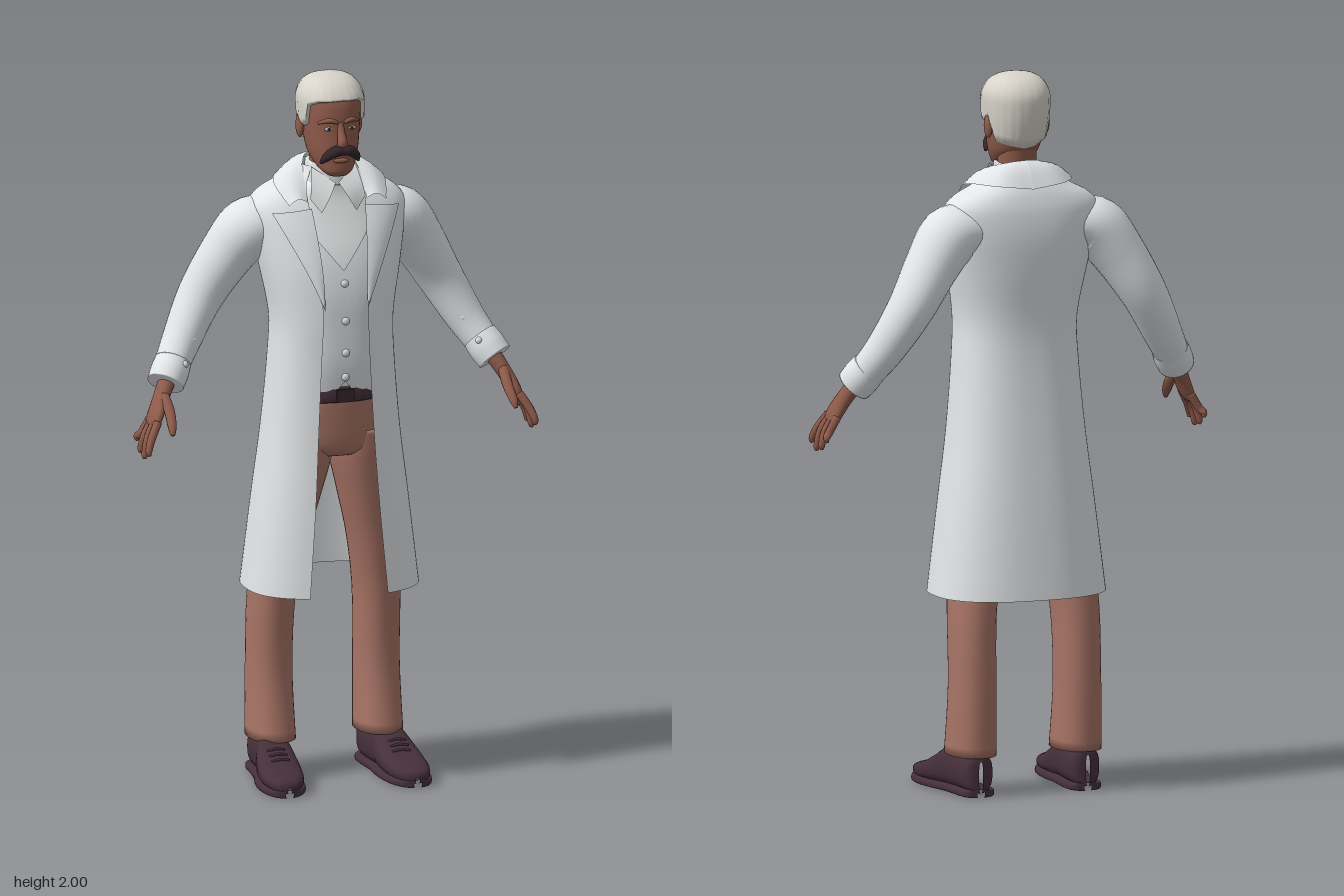
import * as THREE from 'three';

const mat = (name, color, side = THREE.FrontSide) => {
  const m = new THREE.MeshStandardMaterial({ color, side });
  m.name = name;
  return m;
};

// Surface from a rule fn(u, v) -> [x, y, z]; closed joins the ends of u
function grid(nu, nv, fn, closed = false) {
  const cols = closed ? nu : nu + 1, pos = [], idx = [];
  for (let j = 0; j <= nv; j++)
    for (let i = 0; i < cols; i++) pos.push(...fn(i / nu, j / nv));
  for (let j = 0; j < nv; j++)
    for (let i = 0; i < nu; i++) {
      const a = j * cols + i, b = j * cols + (i + 1) % cols;
      idx.push(a, b, b + cols, a, b + cols, a + cols);
    }
  const g = new THREE.BufferGeometry();
  g.setAttribute('position', new THREE.Float32BufferAttribute(pos, 3));
  g.setIndex(idx);
  g.computeVertexNormals();
  return g;
}

// Smooth in-between rows through the given rows of numbers
function dense(rows, n = 5) {
  const out = [], last = rows.length - 1;
  for (let k = 0; k <= last * n; k++) {
    const i = Math.min(Math.floor(k / n), last - 1), t = k / n - i;
    const [a, b, c, d] = [i - 1, i, i + 1, i + 2].map(q => rows[Math.max(0, Math.min(last, q))]);
    out.push(b.map((_, m) => 0.5 * (2 * b[m] + (c[m] - a[m]) * t +
      (2 * a[m] - 5 * b[m] + 4 * c[m] - d[m]) * t * t + (3 * b[m] - a[m] - 3 * c[m] + d[m]) * t ** 3)));
  }
  return out;
}

// Row at a value of the first column
function at(rows, y) {
  let i = 0;
  while (i < rows.length - 2 && rows[i + 1][0] < y) i++;
  const a = rows[i], b = rows[i + 1];
  const t = Math.max(0, Math.min(1, (y - a[0]) / (b[0] - a[0])));
  return a.map((v, m) => v + (b[m] - v) * t);
}
const pw = (v, p) => Math.sign(v) * Math.abs(v) ** p;

// Point of a level ring; row = [y, halfWidth, zFront, zBack]
function ring(r, th, p, cx = 0, grow = 0) {
  return [cx + (r[1] + grow) * pw(Math.sin(th), p), r[0],
    (r[2] + r[3]) / 2 + ((r[2] - r[3]) / 2 + grow) * pw(Math.cos(th), p)];
}
const frontZ = (rows, x, y, p) => {
  const r = at(rows, y), k = Math.min(1, Math.abs(x) / r[1]);
  return (r[2] + r[3]) / 2 + (r[2] - r[3]) / 2 * (1 - k ** (2 / p)) ** (p / 2);
};

// Closed body of level rings; optional fifth column shifts x
function loft(rows, p = 0.9, sides = 32) {
  const d = dense(rows);
  const cap = r => [r[0], 0, (r[2] + r[3]) / 2, (r[2] + r[3]) / 2, r[4] || 0];
  const all = [cap(d[0]), ...d, cap(d[d.length - 1])];
  return grid(sides, all.length - 1, (u, v) => {
    const r = all[Math.round(v * (all.length - 1))];
    return ring(r, u * Math.PI * 2, p, r[4] || 0);
  }, true);
}

// Limb along a path; row = [x, y, z, thinRadius, wideRadius]
function limb(rows, sides = 16) {
  const d = dense(rows.map(r => r.length < 5 ? [...r, r[3]] : r), 6), n = d.length;
  const frames = d.map((_, i) => {
    const a = d[Math.max(0, i - 1)], b = d[Math.min(n - 1, i + 1)];
    const t = new THREE.Vector3(b[0] - a[0], b[1] - a[1], b[2] - a[2]).normalize();
    const e1 = t.clone().cross(new THREE.Vector3(0, 0, 1)).normalize();
    return [e1, t.clone().cross(e1)];
  });
  return grid(sides, n + 1, (u, v) => {
    const k = Math.round(v * (n + 1)), i = Math.max(0, Math.min(n - 1, k - 1));
    const open = k === 0 || k === n + 1 ? 0 : 1, [e1, e2] = frames[i];
    const c = Math.cos(u * 2 * Math.PI) * d[i][3] * open, s = Math.sin(u * 2 * Math.PI) * d[i][4] * open;
    return ['x', 'y', 'z'].map((ax, m) => d[i][m] + e1[ax] * c + e2[ax] * s);
  }, true);
}

const blob = (x, y, z, sx, sy, sz) => new THREE.SphereGeometry(1, 16, 10).scale(sx, sy, sz).translate(x, y, z);

function mirrored(g) {
  const m = g.clone().scale(-1, 1, 1), a = m.index.array;
  for (let i = 0; i < a.length; i += 3) [a[i], a[i + 1]] = [a[i + 1], a[i]];
  return m;
}

export function createModel() {
  const model = new THREE.Group();
  const coatMat = mat('coat white', 0xe2e5e7, THREE.DoubleSide);
  const vestMat = mat('waistcoat white', 0xdde0e2, THREE.DoubleSide);
  const shirtMat = mat('shirt white', 0xe8eaeb, THREE.DoubleSide);
  const trouserMat = mat('trouser brown', 0xa87466);
  const skin = mat('skin', 0x8f5b4a), hairMat = mat('hair grey', 0xd8d4cb, THREE.DoubleSide);
  const dark = mat('moustache dark', 0x33262a), leather = mat('shoe leather', 0x46303a);
  const eyeMat = mat('eye white', 0xc9cccd);
  const add = (name, g, m) => {
    const mesh = new THREE.Mesh(g, m);
    mesh.name = name;
    model.add(mesh);
  };
  const pair = (name, g, m) => { add(name + 'Left', g, m); add(name + 'Right', mirrored(g), m); };

  // Trousers and belt
  pair('trouserLeg', loft([[.11, .066, .03, -.16, .155], [.3, .062, .004, -.163, .155], [.5, .063, .02, -.158, .152],
    [.66, .069, .05, -.145, .135], [.8, .074, .078, -.135, .106], [.92, .08, .098, -.13, .083], [1, .078, .105, -.125, .078]]), trouserMat);
  add('trouserHips', loft([[.93, .1, .085, -.1], [.96, .15, .108, -.125], [1.05, .155, .117, -.125], [1.11, .15, .12, -.12]]), trouserMat);
  add('belt', loft([[1.092, .153, .125, -.122], [1.11, .155, .128, -.124], [1.135, .153, .126, -.122]]), leather);
  add('beltBuckle', new THREE.BoxGeometry(.05, .036, .008).translate(0, 1.112, .129), dark);

  // Shoes: rows [z, centreX, halfWidth, top]
  const shoe = dense([[.208, .185, .006, .03], [.198, .185, .032, .046], [.16, .182, .053, .058], [.1, .178, .061, .074],
    [.04, .172, .057, .104], [0, .168, .05, .126], [-.06, .161, .047, .122], [-.12, .158, .045, .12], [-.148, .158, .033, .115], [-.155, .158, .006, .1]]);
  const shoeBody = (low, high, grow, p) => grid(24, shoe.length - 1, (u, v) => {
    const r = shoe[Math.round(v * (shoe.length - 1))], th = u * Math.PI * 2, top = high || r[3];
    return [r[1] + (r[2] + grow) * pw(Math.sin(th), p), low + (top - low) * (.5 + .5 * pw(Math.cos(th), p)), r[0]];
  }, true);
  pair('shoe', shoeBody(.012, 0, 0, .75), leather);
  pair('shoeSole', shoeBody(0, .022, .005, .4), leather);
  for (const [z, y] of [[.05, .1], [.07, .09], [.09, .08]])
    pair('shoeLace', limb([[.15, y - .004, z, .004], [.174, y + .001, z, .004], [.2, y - .004, z, .004]], 8), leather);

  // Shirt and waistcoat
  const torso = [[1.12, .145, .116, -.11], [1.2, .145, .125, -.12], [1.3, .145, .125, -.125], [1.4, .165, .121, -.135],
    [1.5, .175, .1, -.14], [1.6, .16, .062, -.135], [1.66, .115, .042, -.12], [1.7, .066, .038, -.09], [1.74, .06, .037, -.082]];
  const torsoRows = dense(torso);
  add('shirt', loft(torso, .8), shirtMat);
  add('shirtCollarBand', loft([[1.69, .07, .045, -.092], [1.72, .067, .043, -.09], [1.748, .064, .04, -.087]]), shirtMat);
  const wing = [[.004, 1.70, .055], [.064, 1.742, .02], [.05, 1.622, .075], [.08, 1.66, .062]];
  pair('shirtCollarWing', grid(4, 4, (u, v) => [0, 1, 2].map(m => {
    const low = wing[2][m] + (wing[3][m] - wing[2][m]) * u, high = wing[0][m] + (wing[1][m] - wing[0][m]) * u;
    return low + (high - low) * v + (m === 2 ? .008 * Math.sin(Math.PI * v) : 0);
  })), shirtMat);
  add('waistcoat', grid(40, 24, (u, v) => {
    const x = (u * 2 - 1) * .125, ax = Math.abs(x);
    const low = 1.118 + .035 * Math.max(0, 1 - ax / .03), high = 1.465 + Math.min(ax * 1.25, .13);
    const y = low + (high - low) * v;
    return [x, y, frontZ(torsoRows, x, y, .8) + .008];
  }), vestMat);
  for (const y of [1.43, 1.325, 1.235, 1.165])
    add('waistcoatButton', blob(0, y, at(torsoRows, y)[2] + .009, .011, .011, .007), vestMat);

  // Long coat: rows [y, halfWidth, zFront, zBack, openingHalfWidth]
  const coat = dense([[.55, .245, .176, -.21, .112], [.8, .215, .16, -.188, .092], [1, .19, .147, -.168, .08], [1.2, .173, .141, -.15, .07],
    [1.32, .17, .141, -.148, .065], [1.45, .193, .128, -.163, .067], [1.55, .213, .1, -.17, .074], [1.62, .222, .07, -.165, .08],
    [1.66, .195, .05, -.155, .082], [1.69, .14, .036, -.142, .08], [1.72, .092, .026, -.122, .066], [1.74, .078, .02, -.105, .06]], 4);
  add('coatBody', grid(64, coat.length - 1, (u, v) => {
    const r = coat[Math.round(v * (coat.length - 1))];
    const a = Math.asin((r[4] / r[1]) ** (1 / .8));
    return ring(r, a + (2 * Math.PI - 2 * a) * u, .8);
  }), coatMat);

  // Lapels lie just over the coat front
  pair('lapel', grid(8, 20, (u, v) => {
    const y0 = 1.36 + .275 * v, inner = at(coat, y0)[4] - .004;
    const x = inner + (.172 - .066) * v * u, y = y0 - .012 * u * v;
    return [x, y, frontZ(coat, x, y, .8) + .004 + .007 * Math.sin(Math.PI * Math.min(1, .2 + u * .6))];
  }), coatMat);
  const inner = dense([[0, 1.762, -.092], [.05, 1.755, -.075], [.078, 1.73, -.01], [.085, 1.65, .058]]);
  const outer = dense([[0, 1.69, -.152], [.1, 1.7, -.132], [.158, 1.695, -.03], [.14, 1.645, .062]]);
  pair('coatCollar', grid(15, 6, (u, v) => {
    const k = Math.round(u * 15);
    return [0, 1, 2].map(m => outer[k][m] + (inner[k][m] - outer[k][m]) * v + (m === 1 ? .014 * Math.sin(Math.PI * v) : 0));
  }), coatMat);

  // Sleeves, cuffs and cuff buttons
  pair('sleeve', limb([[.15, 1.575, -.06, .065, .085], [.215, 1.56, -.068, .083, .09], [.275, 1.485, -.085, .075, .08],
    [.345, 1.37, -.1, .064, .07], [.41, 1.255, -.07, .054, .058], [.462, 1.172, -.025, .046, .05]], 28), coatMat);
  pair('cuff', limb([[.443, 1.203, -.042, .05, .053], [.459, 1.177, -.025, .053, .056], [.476, 1.15, -.008, .051, .054]], 28), coatMat);
  for (const [x, y, z] of [[.39, 1.265, -.025], [.425, 1.205, .008]])
    pair('cuffButton', blob(x, y, z, .01, .01, .009), coatMat);

  // Hands
  pair('palm', limb([[.466, 1.165, -.015, .024, .028], [.495, 1.115, .01, .021, .031], [.518, 1.07, .03, .018, .041],
    [.529, 1.045, .035, .012, .041]]), skin);
  const tips = [[.068, .1, .978], [.046, .063, .962], [.023, .026, .97], [.002, -.01, .995]];
  for (const [z0, z1, y] of tips)
    pair('finger', limb([[.522, 1.062, z0, .012], [.547, 1.02, (z0 + z1) / 2 + .004, .0115], [.558, y + .012, z1, .0095], [.556, y, z1, .005]], 10), skin);
  pair('thumb', limb([[.49, 1.125, .022, .015], [.488, 1.09, .068, .015], [.493, 1.055, .108, .012], [.496, 1.036, .122, .006]], 10), skin);

  // Head and neck
  const head = [[1.725, .028, .083, .03], [1.74, .046, .092, -.005], [1.77, .062, .092, -.06], [1.8, .07, .094, -.086], [1.85, .077, .091, -.101],
    [1.9, .081, .089, -.107], [1.94, .08, .08, -.104], [1.97, .064, .055, -.083], [1.986, .04, .025, -.053], [1.993, .006, -.01, -.018]];
  const headRows = dense(head);
  add('head', loft(head, .9, 40), skin);
  add('neck', loft([[1.68, .056, .03, -.08], [1.74, .053, .032, -.075], [1.81, .053, .03, -.08]]), skin);
  add('nose', limb([[0, 1.878, .083, .008], [0, 1.85, .093, .011], [0, 1.825, .105, .0145, .014], [0, 1.812, .1, .015, .01]]), skin);
  add('lowerLip', blob(0, 1.772, .092, .022, .007, .008), skin);
  pair('ear', blob(.084, 1.852, -.02, .011, .034, .02), skin);
  pair('browRidge', limb([[.01, 1.88, .09, .005], [.033, 1.886, .085, .007], [.058, 1.877, .066, .004]], 10), skin);
  const eyeZ = frontZ(headRows, .033, 1.862, .9);
  pair('eye', blob(.033, 1.862, eyeZ, .013, .006, .004), eyeMat);
  pair('pupil', blob(.033, 1.862, eyeZ + .003, .005, .005, .002), dark);
  pair('moustache', limb([[-.002, 1.803, .108, .012, .016], [.02, 1.803, .108, .015, .017], [.042, 1.785, .092, .012, .014], [.054, 1.766, .076, .004, .005]]), dark);

  // Hair cap with a hairline that varies around the head
  const hairline = [[0, 1.936], [.7, 1.932], [1.05, 1.92], [1.22, 1.865], [1.5, 1.852], [1.75, 1.875], [2, 1.805], [3.15, 1.788]];
  add('hair', grid(72, 24, (u, v) => {
    const th = u * Math.PI * 2, low = at(hairline, Math.min(th, Math.PI * 2 - th))[1];
    const y = 1.993 - (1.993 - low) * (1 - v) ** 2, puff = v === 0 ? -.004 : .0105 + .001 * Math.cos(th * 24) * (1 - v);
    const top = v === 1;
    const p = ring(at(headRows, y), th, .9, 0, top ? 0 : puff * Math.min(1, (1 - v) * 5));
    return top ? [0, 2, -.014] : [p[0], y + .007 * v, p[2]];
  }, true), hairMat);

  return model;
}
